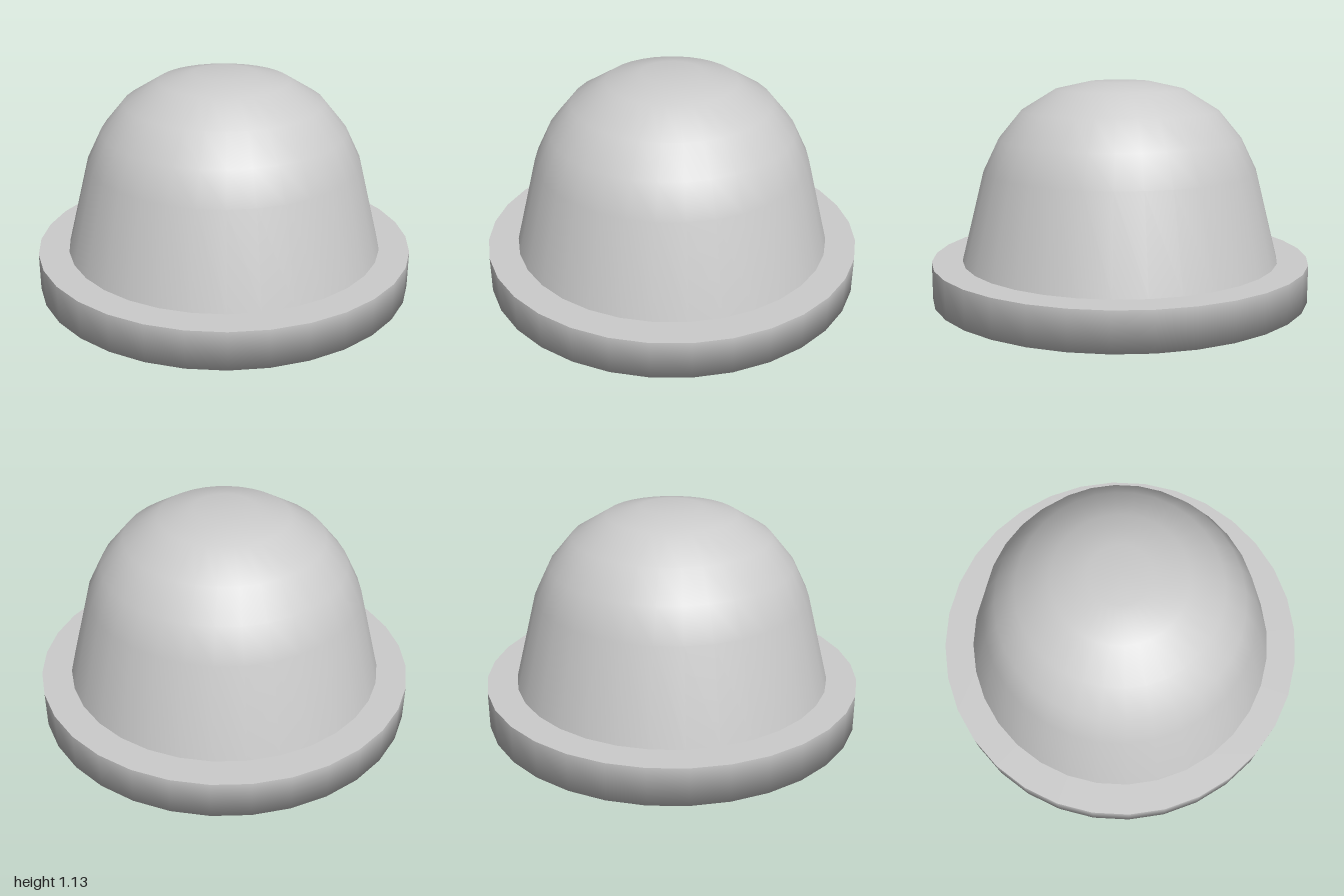
import * as THREE from 'three';

const SEGMENTS = 32;
const material = new THREE.MeshStandardMaterial({ color: 0xcccccc });

// Revolve a profile of [radius, height] pairs, listed from bottom to top.
function revolve(name, profile) {
  const points = profile.map(([r, y]) => new THREE.Vector2(r, y));
  const mesh = new THREE.Mesh(new THREE.LatheGeometry(points, SEGMENTS), material);
  mesh.name = name;
  return mesh;
}

export function createModel() {
  const model = new THREE.Group();
  model.name = 'domedButton';

  // Round base: underside and rim share soft normals
  model.add(revolve('base', [[0, 0], [1, 0], [1, 0.2]]));

  // Flat ledge around the body, with a crisp outer edge
  model.add(revolve('baseLedge', [[1, 0.2], [0.84, 0.2]]));

  // Tapered wall flowing into a rounded dome
  model.add(revolve('dome', [
    [0.84, 0.2], [0.72, 0.675], [0.64, 0.84], [0.52, 0.985],
    [0.34, 1.095], [0.16, 1.135], [0, 1.135],
  ]));

  return model;
}
